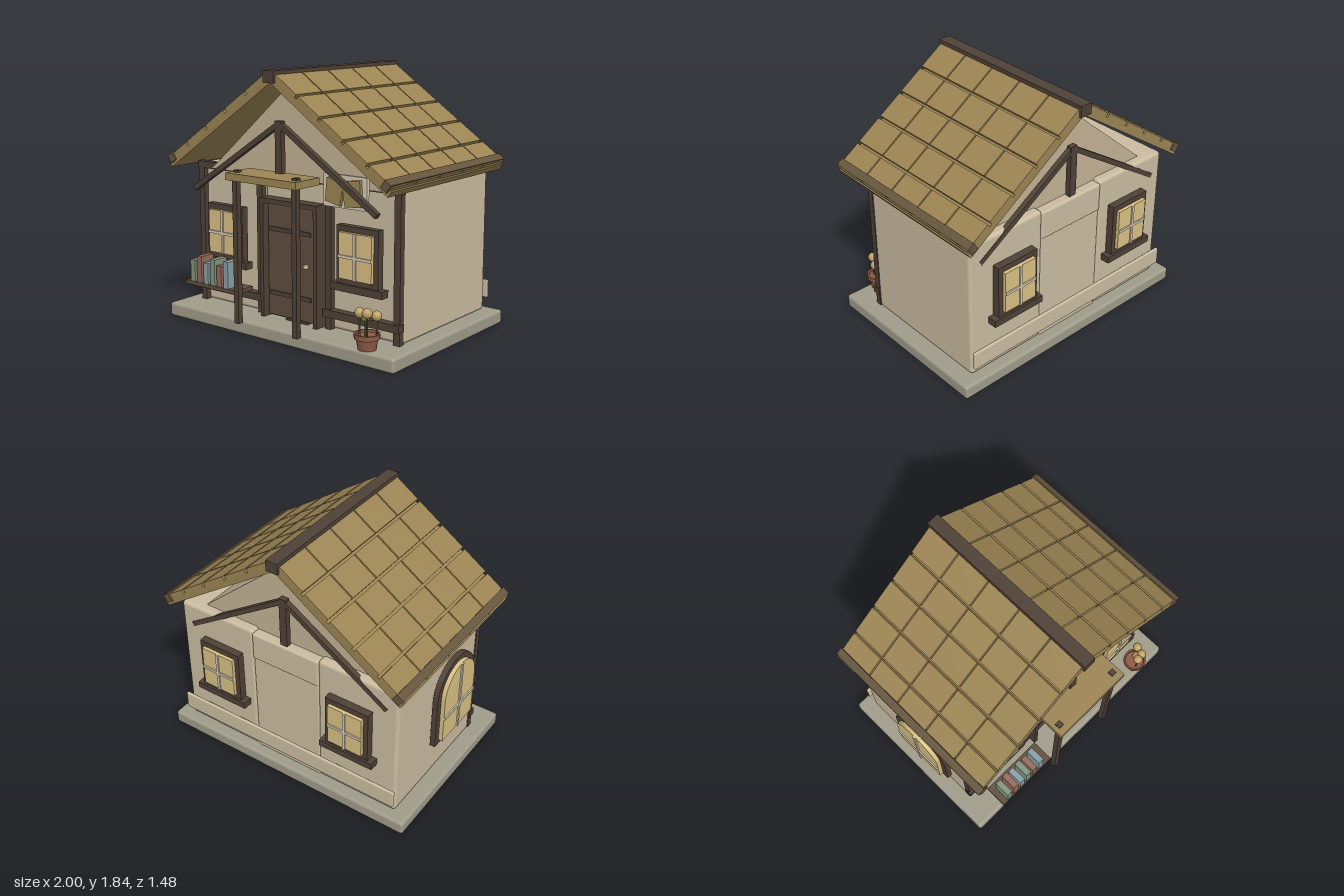
import * as THREE from 'three';
import { RoundedBoxGeometry } from 'three/addons/geometries/RoundedBoxGeometry.js';

const mat = (color) => new THREE.MeshStandardMaterial({ color });
const M = {
  timber: mat(0x4f4136), door: mat(0x604d3f), plaster: mat(0xcabca0), gable: mat(0xc2b294),
  stone: mat(0xa09c8a), tile: mat(0x9c8554), slab: mat(0x9a8352), eave: mat(0x66563f),
  glass: mat(0xd9c083), bar: mat(0xd6cbb4), sage: mat(0x82957f), rust: mat(0x976a5b),
  slate: mat(0x8a9fa8), pot: mat(0x8f5b48), stem: mat(0x5d6b4a), bloom: mat(0xbfa164),
};

function add(parent, name, geo, material, x = 0, y = 0, z = 0) {
  const m = new THREE.Mesh(geo, material);
  m.name = name;
  m.position.set(x, y, z);
  parent.add(m);
  return m;
}

// Box given by its extents on each axis, optionally with rounded edges
function box(parent, name, material, [x0, x1], [y0, y1], [z0, z1], r = 0) {
  const s = [x1 - x0, y1 - y0, z1 - z0];
  const geo = r ? new RoundedBoxGeometry(...s, 3, r) : new THREE.BoxGeometry(...s);
  return add(parent, name, geo, material, (x0 + x1) / 2, (y0 + y1) / 2, (z0 + z1) / 2);
}

const extrude = (shape, depth) =>
  new THREE.ExtrudeGeometry(shape, { depth, bevelEnabled: false, curveSegments: 20 });
const polygon = (pts) => new THREE.Shape(pts.map(([x, y]) => new THREE.Vector2(x, y)));

function group(parent, name) {
  const g = new THREE.Group();
  g.name = name;
  parent.add(g);
  return g;
}

// Square window facing +z, standing on its own origin
function squareWindow(parent, name) {
  const g = group(parent, name);
  box(g, 'windowFrame', M.timber, [-0.168, 0.168], [0.02, 0.42], [0, 0.055]);
  box(g, 'windowSill', M.timber, [-0.21, 0.21], [-0.02, 0.03], [0, 0.07]);
  box(g, 'windowGlass', M.glass, [-0.133, 0.133], [0.07, 0.38], [0.04, 0.08]);
  box(g, 'windowBar', M.bar, [-0.01, 0.01], [0.07, 0.38], [0.075, 0.09]);
  box(g, 'windowBar', M.bar, [-0.133, 0.133], [0.21, 0.23], [0.075, 0.09]);
  return g;
}

// Upright shape with a round top
function arch(w, h) {
  const s = new THREE.Shape();
  s.moveTo(-w, 0);
  s.lineTo(w, 0);
  s.lineTo(w, h - w);
  s.absarc(0, h - w, w, 0, Math.PI, false);
  s.lineTo(-w, 0);
  return s;
}

function addRoof(root) {
  const roof = group(root, 'roof');
  const z0 = -0.728, z1 = 0.634, len = 1.14, step = (z1 - z0) / 5, row = len / 5;
  for (const side of [1, -1]) {
    const slope = group(roof, side > 0 ? 'leftSlope' : 'rightSlope');
    slope.position.y = 1.755;
    slope.rotation.z = -side * 0.6;
    const span = (a, b) => (side > 0 ? [a, b] : [-b, -a]);
    box(slope, 'roofSlab', M.slab, span(0, len), [0, 0.045], [z0 + 0.005, z1 - 0.005]);
    for (let i = 0; i < 5; i++)
      for (let j = 0; j < 5; j++)
        box(slope, 'roofTile', M.tile, span(i * row + 0.01, (i + 1) * row - 0.01), [0.03, 0.073],
          [z0 + j * step + 0.005, z0 + (j + 1) * step - 0.005]);
    box(slope, 'eaveBeam', M.eave, span(len - 0.075, len - 0.018), [0.02, 0.082], [z0 - 0.007, z1 + 0.007]);
  }
  box(roof, 'ridgeBeam', M.timber, [-0.045, 0.045], [1.755, 1.835], [-0.742, 0.65]);
  add(roof, 'gable', extrude(polygon([[-0.75, 1.095], [0.75, 1.095], [0, 1.745]]), 0.995), M.gable, 0, 0, -0.58);
}

// King post with two sloping braces
function addTruss(root, name, z) {
  const g = group(root, name);
  box(g, 'kingPost', M.timber, [-0.028, 0.028], [1.13, 1.5], [z - 0.02, z + 0.02]);
  for (const s of [1, -1]) {
    const len = Math.hypot(0.8, 0.52);
    const b = add(g, 'brace', new THREE.BoxGeometry(len, 0.036, 0.038), M.timber, s * 0.4, 1.222, z);
    b.rotation.z = -s * Math.atan2(0.52, 0.8);
  }
}

function addFlowers(root) {
  const g = group(root, 'flowerPot');
  g.position.set(0.75, 0.1, 0.57);
  const profile = [[0, 0], [0.06, 0], [0.072, 0.07], [0.084, 0.072], [0.086, 0.106], [0.073, 0.106], [0.07, 0.09], [0, 0.09]];
  const pot = new THREE.LatheGeometry(profile.map(([x, y]) => new THREE.Vector2(x, y)), 20);
  add(g, 'pot', pot, new THREE.MeshStandardMaterial({ color: 0x8f5b48, flatShading: true }));
  for (const [x, h, z] of [[-0.03, 0.245, 0.04], [0.022, 0.245, 0.03], [0.05, 0.22, -0.035], [-0.005, 0.22, 0.01]]) {
    add(g, 'stem', new THREE.CylinderGeometry(0.006, 0.006, h - 0.08, 8), M.stem, x, (h + 0.08) / 2, z);
    add(g, 'bloom', new THREE.SphereGeometry(0.034, 16, 12), M.bloom, x, h, z);
  }
}

export function createModel() {
  const root = new THREE.Group();
  root.name = 'cottage';
  box(root, 'foundation', M.stone, [-1, 1], [0, 0.1], [-0.722, 0.632], 0.02);

  // Walls in blocks, with the doorway section in the middle
  const walls = group(root, 'walls');
  for (const s of [1, -1])
    box(walls, 'sideWall', M.plaster, s > 0 ? [0.268, 0.89] : [-0.89, -0.268], [0.1, 1.125], [-0.645, 0.372], 0.025);
  box(walls, 'doorwayWall', M.plaster, [-0.27, 0.27], [0.09, 0.915], [-0.64, 0.36], 0.01);
  box(walls, 'lintelWall', M.plaster, [-0.272, 0.272], [0.9, 1.11], [-0.65, 0.372], 0.015);
  box(walls, 'backBoard', M.plaster, [-0.9, 0.9], [0.18, 0.31], [-0.692, -0.667], 0.008);

  addRoof(root);
  addTruss(root, 'frontTruss', 0.535);
  addTruss(root, 'backTruss', -0.63);

  // Front timber framing
  const frame = group(root, 'timberFrame');
  box(frame, 'topBeam', M.timber, [-0.895, 0.895], [1.085, 1.135], [0.365, 0.412]);
  for (const s of [1, -1]) {
    const post = (name, x, w, y, z) => box(frame, name, M.timber, [s * x - w / 2, s * x + w / 2], y, z);
    post('cornerPost', 0.865, 0.05, [0.1, 1.12], [0.365, 0.41]);
    post('innerPost', 0.305, 0.048, [0.1, 1.09], [0.365, 0.41]);
    post('lowRail', 0.585, 0.62, [0.19, 0.243], [0.37, 0.432]);
    post('doorJamb', 0.237, 0.03, [0.1, 0.93], [0.36, 0.467]);
    post('porchPost', 0.26, 0.04, [0.1, 1.12], [0.665, 0.705]);
    post('porchPeg', 0.257, 0.04, [1.12, 1.165], [0.655, 0.695]);
  }
  box(frame, 'doorHeader', M.timber, [-0.252, 0.252], [0.912, 0.947], [0.36, 0.467]);
  box(frame, 'canopy', M.tile, [-0.307, 0.307], [1.1, 1.15], [0.5, 0.742]);

  // Door with two straps and a knob
  const door = group(root, 'door');
  box(door, 'doorPanel', M.door, [-0.222, 0.188], [0.11, 0.9], [0.355, 0.415], 0.008);
  for (const y of [0.275, 0.73])
    box(door, 'doorStrap', M.timber, [-0.2, 0.165], [y - 0.015, y + 0.015], [0.41, 0.425]);
  box(door, 'doorKnob', M.glass, [0.112, 0.14], [0.492, 0.52], [0.41, 0.445], 0.006);
  box(door, 'threshold', M.timber, [-0.05, 0.14], [0.1, 0.115], [0.36, 0.43]);

  // Windows at front and back
  for (const s of [1, -1]) {
    squareWindow(root, 'frontWindow').position.set(s * 0.588, 0.43, 0.41);
    const back = squareWindow(root, 'backWindow');
    back.position.set(s * 0.53, 0.48, -0.645);
    back.rotation.y = Math.PI;
  }

  // Arched window on the right wall
  const archWindow = group(root, 'archedWindow');
  archWindow.position.set(-0.905, 0.4, 0.01);
  archWindow.rotation.y = -Math.PI / 2;
  add(archWindow, 'archFrame', extrude(arch(0.245, 0.63), 0.04), M.timber);
  add(archWindow, 'archGlass', extrude(arch(0.2, 0.555), 0.035), M.glass, 0, 0.035, 0.035);
  box(archWindow, 'archBar', M.bar, [-0.01, 0.01], [0.035, 0.59], [0.065, 0.08]);
  box(archWindow, 'archBar', M.bar, [-0.2, 0.2], [0.23, 0.25], [0.065, 0.08]);

  // Hanging sign with a cut-out cloth shape
  const sign = group(root, 'sign');
  box(sign, 'signBoard', M.bar, [0.325, 0.675], [0.965, 1.182], [0.455, 0.48]);
  add(sign, 'signCloth', extrude(polygon([[0.37, 1.16], [0.355, 1.005], [0.475, 0.98], [0.498, 1.09],
    [0.515, 0.98], [0.645, 0.99], [0.635, 1.165], [0.5, 1.145]]), 0.025), M.tile, 0, 0, 0.479);

  // Shelf of books
  const shelf = group(root, 'bookShelf');
  box(shelf, 'shelfBoard', M.door, [-0.785, -0.295], [0.288, 0.315], [0.5, 0.67]);
  [[0.47, M.sage], [0.505, M.rust], [0.465, M.slate], [0.5, M.sage], [0.465, M.rust], [0.505, M.slate]].forEach(
    ([top, m], i) => {
      const x = -0.717 + i * 0.064;
      box(shelf, 'book', m, [x - 0.022, x + 0.022], [0.315, top], [0.545, 0.665]);
    });

  addFlowers(root);
  return root;
}
